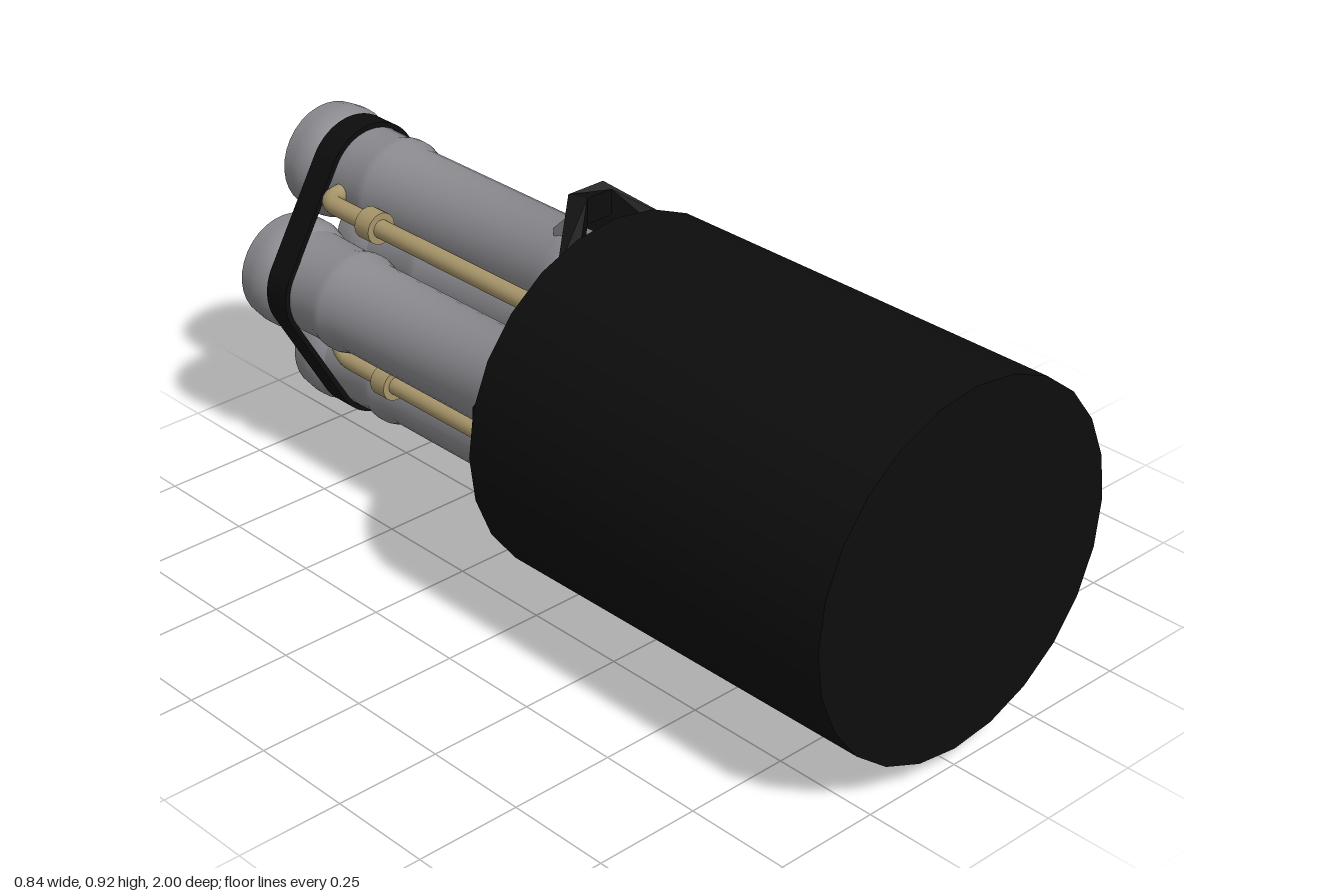
import * as THREE from 'three';
import { toCreasedNormals } from 'three/addons/utils/BufferGeometryUtils.js';

const mat = (name, color, side = THREE.FrontSide) => {
  const m = new THREE.MeshStandardMaterial({ color, side });
  m.name = name;
  return m;
};

export function createModel() {
  const black = mat('black', 0x0d0d0d);
  const blackInside = black;
  const grey = mat('grey metal', 0x8c8b90, THREE.DoubleSide);
  const gold = mat('dull gold', 0xa8966a);

  const model = new THREE.Group();
  model.name = 'rocketStage';
  const core = new THREE.Group();
  core.name = 'core';
  core.position.y = 0.46;
  model.add(core);

  const add = (parent, name, geometry, material) => {
    const mesh = new THREE.Mesh(geometry, material);
    mesh.name = name;
    parent.add(mesh);
    return mesh;
  };
  // Cylinder along z between two depths
  const rod = (r, z0, z1, sides) =>
    new THREE.CylinderGeometry(r, r, Math.abs(z0 - z1), sides)
      .rotateX(Math.PI / 2).translate(0, 0, (z0 + z1) / 2);
  // Lathe whose profile is [radius, distance behind z = 0]
  const turned = (profile) => toCreasedNormals(
    new THREE.LatheGeometry(profile.map(([r, d]) => new THREE.Vector2(r, d)), 32)
      .rotateX(-Math.PI / 2), 0.5);
  const polygon = (pts) => new THREE.Shape(pts.map(([x, y]) => new THREE.Vector2(x, y)));

  // Main hull
  add(core, 'hull', toCreasedNormals(rod(0.42, 1, -0.012, 24), 0.5), black);

  // Mounting arch: feet on the hull, bar behind; radii are [inner, outer]
  const archShape = polygon([
    [-0.18, 0], [-0.12, 0], [-0.035, 0.062], [0.035, 0.062],
    [0.12, 0], [0.18, 0], [0.05, 0.105], [-0.05, 0.105],
  ]);
  const arch = (foot, bar) => {
    const g = new THREE.ExtrudeGeometry(archShape, { depth: 1, bevelEnabled: false });
    const p = g.attributes.position;
    for (let i = 0; i < p.count; i++) {
      const t = p.getX(i), d = p.getY(i), e = p.getZ(i);
      const [inner, outer] = d > 0.01 ? bar : foot;
      p.setXYZ(i, outer + (inner - outer) * e, t, -d);
    }
    g.computeVertexNormals();
    return g;
  };

  // Engine profiles
  const shell = turned([
    [0, 0.085], [0.10, 0.085], [0.117, 0.1], [0.117, 0.14], [0.11, 0.155],
    [0.11, 0.69], [0.121, 0.725], [0.121, 0.745], [0.115, 0.77], [0.118, 0.9],
    [0.127, 0.915], [0.135, 0.94], [0.135, 0.965], [0.13, 1],
  ]);
  const rim = turned([[0.13, 1], [0.118, 1]]);
  const bore = turned([[0.118, 1], [0.12, 0.95], [0.1, 0.85], [0.09, 0.6], [0, 0.6]]);

  // Bracket cheek in x (outward) and z
  const cheek = () => new THREE.ExtrudeGeometry(
    polygon([[0.09, 0.09], [0.17, 0.095], [0.165, 0.11], [0.118, 0.16], [0.09, 0.16]]),
    { depth: 0.012, bevelEnabled: false }).rotateX(-Math.PI / 2);

  const feedBend = new THREE.QuadraticBezierCurve3(
    new THREE.Vector3(0, 0.165, -0.76),
    new THREE.Vector3(0, 0.165, -0.812),
    new THREE.Vector3(0, 0.1, -0.812));

  for (let i = 0; i < 4; i++) {
    const wide = i % 2 === 0;
    const quadrant = new THREE.Group();
    quadrant.name = 'engineQuadrant' + (i + 1);
    quadrant.rotation.z = i * Math.PI / 2;
    core.add(quadrant);
    add(quadrant, 'mountingArch',
      wide ? arch([0.23, 0.335], [0.26, 0.33]) : arch([0.24, 0.355], [0.40, 0.46]), black);

    const engine = new THREE.Group();
    engine.name = 'engine';
    engine.position.x = wide ? 0.14 : 0.242;
    quadrant.add(engine);
    add(engine, 'engineNeck', rod(0.025, 0, -0.09, 16), grey);
    add(engine, 'engineShell', shell, grey);
    add(engine, 'nozzleRim', rim, grey);
    add(engine, 'nozzleBore', bore, blackInside);

    // Open bracket on the outward side
    for (const y of [-0.045, 0.033]) {
      add(engine, 'bracketCheek', cheek(), grey).position.y = y;
    }
    add(engine, 'bracketFront', new THREE.BoxGeometry(0.08, 0.09, 0.012), grey)
      .position.set(0.13, 0, -0.1);
    add(engine, 'bracketBack', new THREE.BoxGeometry(0.02, 0.09, 0.012), grey)
      .position.set(0.108, 0, -0.154);

    // Feed pipe bending into the engine
    add(engine, 'feedPipe', rod(0.022, 0, -0.76, 16).translate(0, 0.165, 0), gold);
    add(engine, 'feedPipeBend', new THREE.TubeGeometry(feedBend, 12, 0.022, 16), gold);
    add(engine, 'feedPipeCollar', rod(0.038, -0.602, -0.65, 16).translate(0, 0.165, 0), gold);
  }

  // Strap wrapped tangentially around the four engines
  const loop = (path, r) => {
    const a = Math.PI / 6;
    path.absarc(0.14, 0, r, -a, a, false);
    path.absarc(0, 0.242, r, a, Math.PI - a, false);
    path.absarc(-0.14, 0, r, Math.PI - a, Math.PI + a, false);
    path.absarc(0, -0.242, r, Math.PI + a, 2 * Math.PI - a, false);
    path.closePath();
    return path;
  };
  const strap = loop(new THREE.Shape(), 0.129);
  strap.holes.push(loop(new THREE.Path(), 0.117));
  add(core, 'strap', toCreasedNormals(
    new THREE.ExtrudeGeometry(strap, { depth: 0.07, bevelEnabled: false, curveSegments: 16 })
      .translate(0, 0, -0.905), 0.5), black);

  return model;
}
